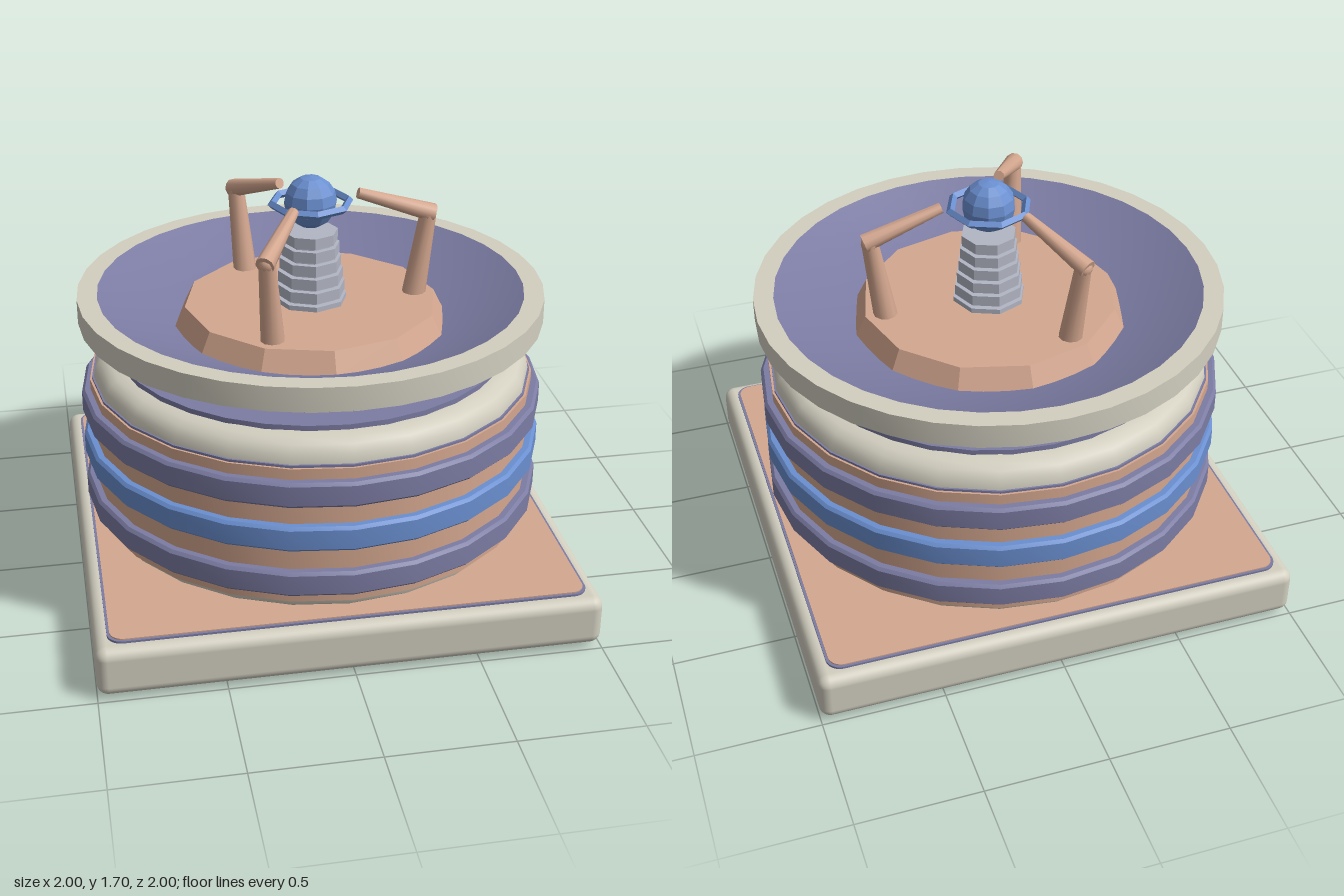
import * as THREE from 'three';
import { toCreasedNormals } from 'three/addons/utils/BufferGeometryUtils.js';
import { RoundedBoxGeometry } from 'three/addons/geometries/RoundedBoxGeometry.js';

const mat = (name, color) => {
  const m = new THREE.MeshStandardMaterial({ color });
  m.name = name;
  return m;
};

export function createModel() {
  const root = new THREE.Group();
  const cream = mat('cream', 0xd2cfc0);
  const copper = mat('copper', 0xd4a78f);
  const violet = mat('violet', 0x7c7ca4);
  const blue = mat('blue', 0x6a8fd0);
  const grey = mat('grey', 0xb2b6c4);

  const add = (name, geo, material, parent = root) => {
    const mesh = new THREE.Mesh(geo, material);
    mesh.name = name;
    parent.add(mesh);
    return mesh;
  };
  // turned part from [radius, y] points, listed bottom to top along the outside
  const turn = (pts, sides) => toCreasedNormals(
    new THREE.LatheGeometry(pts.map(p => new THREE.Vector2(p[0], p[1])), sides), 0.55);
  // flat square plate with rounded corners
  const plate = (half, r, y0, y1) => {
    const s = new THREE.Shape();
    const c = half - r;
    s.absarc(c, c, r, 0, Math.PI / 2);
    s.absarc(-c, c, r, Math.PI / 2, Math.PI);
    s.absarc(-c, -c, r, Math.PI, Math.PI * 1.5);
    s.absarc(c, -c, r, Math.PI * 1.5, Math.PI * 2);
    const g = new THREE.ExtrudeGeometry(s, { depth: y1 - y0, bevelEnabled: false, curveSegments: 5 });
    return g.rotateX(-Math.PI / 2).translate(0, y0, 0);
  };

  // square base with inlaid panels above and below
  add('base', new RoundedBoxGeometry(2, 0.208, 2, 4, 0.045).translate(0, 0.12, 0), cream);
  add('basePanelBorder', plate(0.948, 0.06, 0.006, 0.233), violet);
  add('basePanel', plate(0.938, 0.055, 0, 0.238), copper);

  // drum body
  const sides = 24;
  add('drumCore', turn([
    [0, 0.23], [0.82, 0.23], [0.86, 0.24], [0.89, 0.262], [0.905, 0.3],
    [0.905, 0.88], [0.897, 0.925], [0.875, 0.955], [0.845, 0.973], [0.8, 0.98], [0, 0.98],
  ], sides), cream);
  add('drumWall', turn([[0.89, 0.295], [0.92, 0.295], [0.92, 0.878], [0.89, 0.878]], sides), copper);
  add('drumTrim', turn([[0.89, 0.878], [0.911, 0.878], [0.911, 0.888], [0.89, 0.888]], sides), violet);

  // raised bands
  [[0.39, violet], [0.59, blue], [0.78, violet]].forEach(([y, m], i) => {
    const h = 0.053, r = 0.956, b = 0.012;
    add('band' + (i + 1), turn([
      [0.9, y - h], [r - b, y - h], [r, y - h + b], [r, y + h - b], [r - b, y + h], [0.9, y + h],
    ], sides), m);
  });
  add('topDisc', turn([[0, 0.975], [0.805, 0.975], [0.805, 1], [0, 1]], 32), violet);

  // dish
  add('dishUnderside', turn([[0.66, 0.98], [0.955, 1.135]], 36), copper);
  add('dishRim', turn([[0.953, 1.132], [0.953, 1.232], [0.872, 1.232]], 36), cream);
  add('dishBowl', turn([[0.872, 1.232], [0.53, 1.075], [0, 1.075]], 36), violet);

  // twelve-sided platform inside the dish
  const platform = new THREE.CylinderGeometry(0.52, 0.565, 0.09, 12).toNonIndexed();
  platform.computeVertexNormals();
  add('platform', platform.translate(0, 1.125, 0), copper);

  // ringed pedestal
  const pedestal = new THREE.Group();
  pedestal.name = 'pedestal';
  root.add(pedestal);
  const faceted = g => {
    const n = g.index ? g.toNonIndexed() : g;
    n.computeVertexNormals();
    return n;
  };
  add('pedestalCore', faceted(new THREE.CylinderGeometry(0.09, 0.125, 0.3, 8)).translate(0, 1.315, 0), grey, pedestal);
  for (let i = 0; i < 6; i++) {
    const r = 0.15 - i * 0.0075;
    add('pedestalRing', faceted(new THREE.CylinderGeometry(r, r, 0.045, 8))
      .translate(0, 1.168 + i * 0.056, 0), grey, pedestal);
  }

  // orb and its halo ring
  add('orb', toCreasedNormals(new THREE.SphereGeometry(0.108, 10, 8), 0.3).translate(0, 1.592, 0), blue);
  add('haloRing', faceted(new THREE.TorusGeometry(0.158, 0.017, 4, 8)).rotateX(Math.PI / 2).translate(0, 1.588, 0), blue);

  // three claw arms
  const limb = (name, a, b, ra, rb, parent) => {
    const from = new THREE.Vector3(...a), to = new THREE.Vector3(...b);
    const dir = to.clone().sub(from);
    const mesh = add(name, toCreasedNormals(
      new THREE.CylinderGeometry(rb, ra, dir.length(), 10), 0.8), copper, parent);
    mesh.position.copy(from).add(to).multiplyScalar(0.5);
    mesh.quaternion.setFromUnitVectors(new THREE.Vector3(0, 1, 0), dir.normalize());
  };
  for (let i = 0; i < 3; i++) {
    const arm = new THREE.Group();
    arm.name = 'arm' + (i + 1);
    arm.rotation.y = i * Math.PI * 2 / 3;
    root.add(arm);
    limb('lowerArm', [0.435, 1.16, 0], [0.487, 1.51, 0], 0.049, 0.034, arm);
    limb('upperArm', [0.51, 1.51, 0], [0.195, 1.615, 0], 0.038, 0.022, arm);
    add('elbow', new THREE.SphereGeometry(0.036, 10, 8), copper, arm).position.set(0.487, 1.508, 0);
  }
  return root;
}
